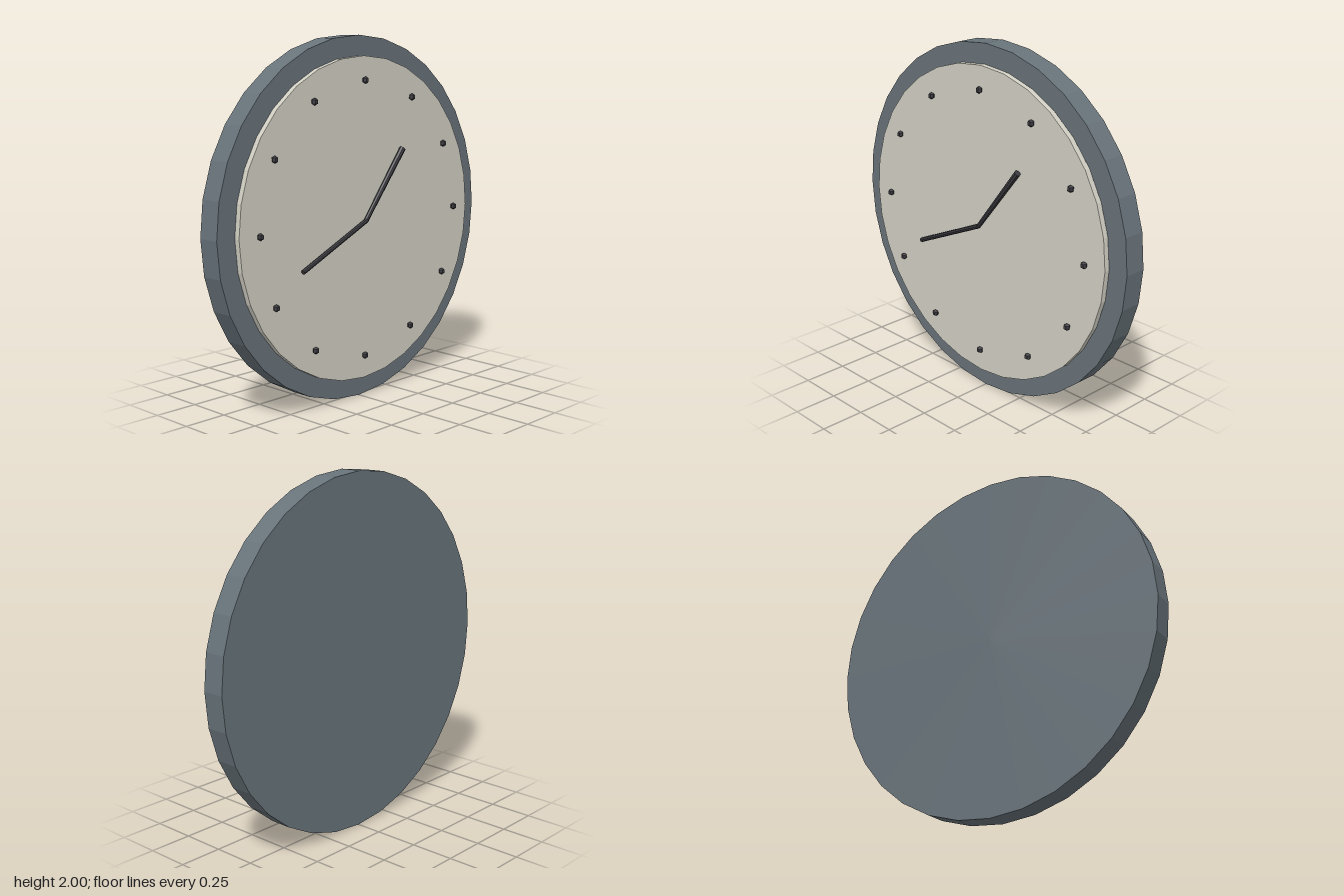
import * as THREE from 'three';

const material = (color) => new THREE.MeshStandardMaterial({ color, flatShading: true });

export function createModel() {
  const clock = new THREE.Group();
  clock.name = 'wallClock';
  const caseMat = material(0x68737a);
  const dialMat = material(0xd2d0c4);
  const darkMat = material(0x3a3a40);

  function add(name, geometry, mat, x, y, z) {
    const mesh = new THREE.Mesh(geometry, mat);
    mesh.name = name;
    mesh.position.set(x, y, z);
    clock.add(mesh);
    return mesh;
  }

  // Discs facing +z
  function disc(name, radius, back, front, mat) {
    const geometry = new THREE.CylinderGeometry(radius, radius, front - back, 32);
    geometry.rotateX(Math.PI / 2);
    add(name, geometry, mat, 0, 1, (back + front) / 2);
  }
  disc('case', 1, -0.1, 0.027, caseMat);
  disc('dial', 0.89, 0.032, 0.064, dialMat);

  // Twelve hour markers
  for (let i = 0; i < 12; i++) {
    const a = (i / 12) * Math.PI * 2;
    add('hourMarker' + (i || 12), new THREE.SphereGeometry(0.02, 6, 3), darkMat,
      0.76 * Math.sin(a), 1 + 0.76 * Math.cos(a), 0.075);
  }

  // Hands run from the centre of the dial to a tip at (x, y)
  function hand(name, x, y, z, hubRadius, tipRadius) {
    const length = Math.hypot(x, y - 1);
    const geometry = new THREE.CylinderGeometry(tipRadius, hubRadius, length, 8);
    geometry.translate(0, length / 2, 0);
    add(name, geometry, darkMat, 0, 1, z).rotation.z = -Math.atan2(x, y - 1);
  }
  hand('hourHand', 0.295, 1.375, 0.082, 0.013, 0.018);
  hand('minuteHand', -0.48, 0.78, 0.085, 0.013, 0.013);

  return clock;
}
